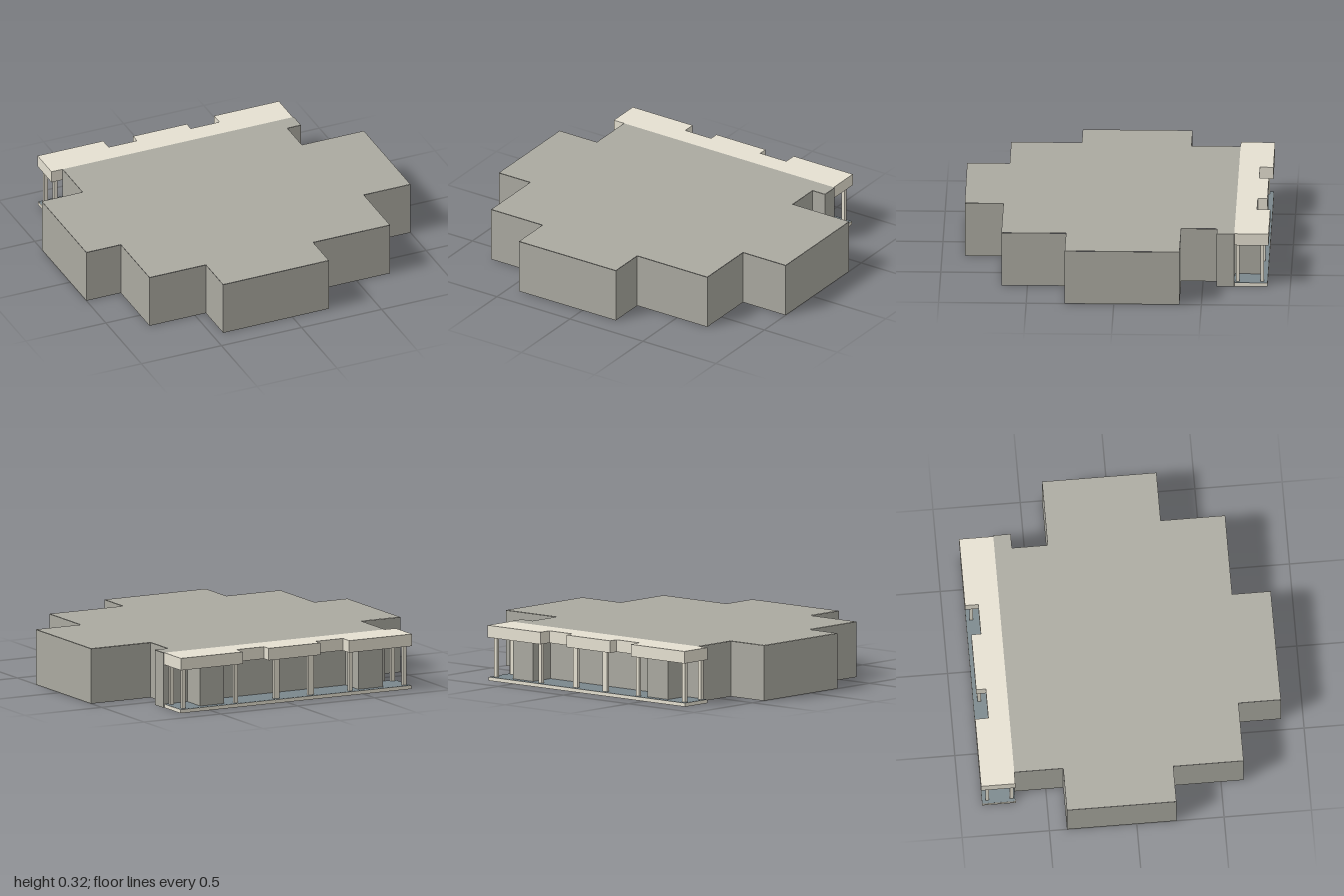
import * as THREE from 'three';

const wallMat = new THREE.MeshStandardMaterial({ name: 'stone grey', color: 0xaaa9a0, side: THREE.DoubleSide });
const trimMat = new THREE.MeshStandardMaterial({ name: 'pale trim', color: 0xe5e0d1 });
const floorMat = new THREE.MeshStandardMaterial({ name: 'slate floor', color: 0x7a878c });

const HEIGHT = 0.32;
const BACK = -0.68;
const toShape = (outline) => new THREE.Shape(outline.map(([x, z]) => new THREE.Vector2(x, z)));

// Extrude an [x, z] outline upward from y0 to y1
function slab(name, outline, y0, y1, material) {
  const geo = new THREE.ExtrudeGeometry(toShape(outline), { depth: y1 - y0, bevelEnabled: false });
  geo.rotateX(Math.PI / 2).translate(0, y1, 0);
  const mesh = new THREE.Mesh(geo, material);
  mesh.name = name;
  return mesh;
}

// Box given by its extents
function block(name, x0, x1, y0, y1, z0, z1, material) {
  const mesh = new THREE.Mesh(new THREE.BoxGeometry(x1 - x0, y1 - y0, z1 - z0), material);
  mesh.position.set((x0 + x1) / 2, (y0 + y1) / 2, (z0 + z1) / 2);
  mesh.name = name;
  return mesh;
}

// Thin upright wall between two [x, z] points
function wall([x0, z0], [x1, z1], height) {
  const mesh = new THREE.Mesh(new THREE.PlaneGeometry(Math.hypot(x1 - x0, z1 - z0), height), wallMat);
  mesh.position.set((x0 + x1) / 2, height / 2, (z0 + z1) / 2);
  mesh.rotation.y = Math.atan2(z0 - z1, x1 - x0);
  mesh.name = 'wall';
  return mesh;
}

export function createModel() {
  const model = new THREE.Group();
  model.name = 'building';

  // Main stepped building: roof and walls, open underneath
  const outline = [
    [-0.745, BACK], [-0.745, -0.4], [-1, -0.4], [-1, 0.227], [-0.785, 0.227],
    [-0.785, 0.63], [-0.433, 0.63], [-0.433, 0.873], [0.228, 0.87], [0.228, 0.649],
    [0.708, 0.649], [0.708, 0.28], [1, 0.28], [1, -0.375], [0.613, -0.375],
    [0.613, -0.58], [0.698, -0.58], [0.698, BACK],
  ];
  const roof = new THREE.Mesh(new THREE.ShapeGeometry(toShape(outline)), wallMat);
  roof.geometry.rotateX(Math.PI / 2);
  roof.geometry.scale(1, -1, 1);
  roof.geometry.index.array.reverse(); // face the roof upward
  roof.geometry.computeVertexNormals();
  roof.position.y = HEIGHT;
  roof.name = 'roof';
  model.add(roof);

  // Walls, with two bays projecting into the porch
  const bays = [[0.385, 0.54], [-0.65, -0.49]];
  const bayFront = -0.83;
  const bayOutline = bays.flatMap(([x0, x1]) => [[x1, BACK], [x1, bayFront], [x0, bayFront], [x0, BACK]]);
  const plan = [...outline, ...bayOutline];
  plan.forEach((p, i) => {
    model.add(wall(p, plan[(i + 1) % plan.length], HEIGHT - 0.001));
  });

  const porch = new THREE.Group();
  porch.name = 'porch';
  model.add(porch);

  // Notched canopy along the back
  porch.add(slab('canopy', [
    [-0.815, BACK], [-0.815, -0.876], [-0.405, -0.876], [-0.405, -0.8], [-0.228, -0.8],
    [-0.228, -0.855], [0.108, -0.855], [0.108, -0.8], [0.287, -0.8], [0.287, -0.876],
    [0.692, -0.876], [0.692, BACK],
  ], 0.25, HEIGHT, trimMat));

  // Slate floor cut around the bays
  porch.add(slab('porchFloor', [
    [-0.812, BACK], [-0.812, -0.868], [0.688, -0.868], [0.688, BACK], ...bayOutline,
  ], 0.012, 0.021, floorMat));

  // Pale frame under the floor edges
  porch.add(block('floorFrameBack', -0.815, 0.691, 0, 0.02, -0.87, -0.855, trimMat));
  for (const x of [-0.815, 0.676]) {
    porch.add(block('floorFrameEnd', x, x + 0.015, 0, 0.02, -0.869, -0.677, trimMat));
  }
  for (const [x0, x1] of bays) {
    for (const x of [x0 - 0.01, x1]) {
      porch.add(block('floorFrameBay', x, x + 0.01, 0, 0.0195, -0.856, BACK, trimMat));
    }
  }
  for (const [x0, x1] of [[-0.8, -0.65], [-0.49, 0.385], [0.54, 0.676]]) {
    porch.add(block('floorFrameInner', x0, x1, 0, 0.0195, -0.69, BACK - 0.001, trimMat));
  }

  // Posts: x, z, width
  const posts = [
    [-0.783, -0.838, 0.022], [-0.783, -0.7, 0.022], [0.657, -0.838, 0.022], [0.657, -0.7, 0.022],
    [-0.43, -0.838, 0.022], [0.315, -0.838, 0.022], [-0.175, -0.834, 0.034], [0.05, -0.834, 0.034],
  ];
  for (const [x, z, w] of posts) {
    porch.add(block('post', x - w / 2, x + w / 2, 0.001, 0.25, z - 0.01, z + 0.01, trimMat));
  }

  return model;
}
